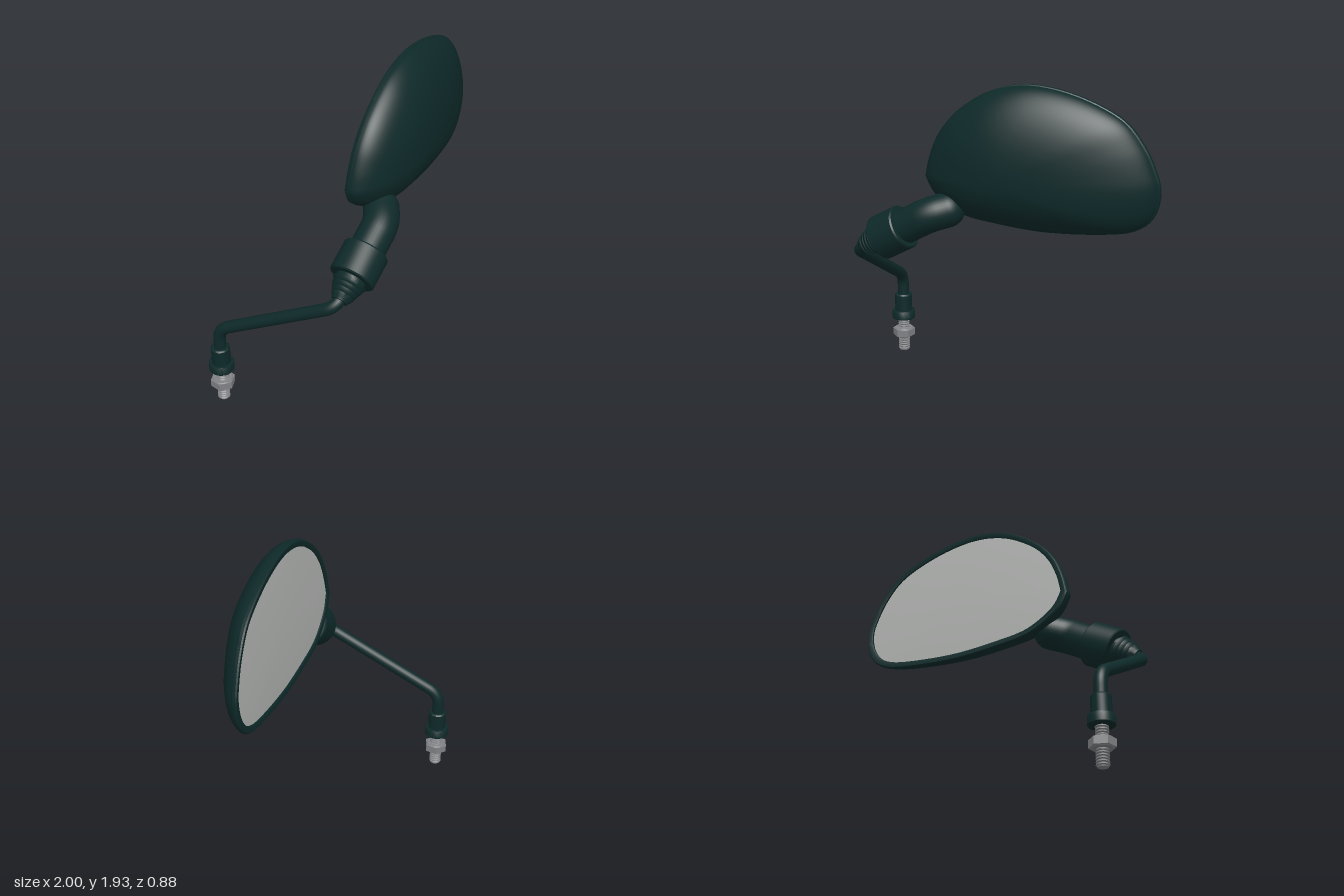
import * as THREE from 'three';
import { toCreasedNormals, mergeVertices } from 'three/addons/utils/BufferGeometryUtils.js';

const V = (x, y, z) => new THREE.Vector3(x, y, z);

export function createModel() {
  const model = new THREE.Group();
  model.name = 'rearViewMirror';
  const makeMat = (name, color) => {
    const m = new THREE.MeshStandardMaterial({ color });
    m.name = name;
    return m;
  };
  const dark = makeMat('dark plastic', 0x0e2929);
  const steel = makeMat('steel', 0x808285);
  const glassGrey = makeMat('mirror glass', 0xb2b4b2);

  const add = (name, geo, mat, pos) => {
    const mesh = new THREE.Mesh(geo, mat);
    mesh.name = name;
    if (pos) mesh.position.copy(pos);
    model.add(mesh);
    return mesh;
  };
  // turned part from [radius, height] pairs, crisp at sharp corners
  const turned = (pts, sides = 40) =>
    toCreasedNormals(new THREE.LatheGeometry(pts.map(p => new THREE.Vector2(...p)), sides), 0.6);
  // path of straight runs joined by rounded corners
  const roundedPath = (pts, radius) => {
    const path = new THREE.CurvePath();
    let from = pts[0];
    for (let i = 1; i < pts.length - 1; i++) {
      const p = pts[i];
      const a = p.clone().add(pts[i - 1].clone().sub(p).setLength(radius));
      const b = p.clone().add(pts[i + 1].clone().sub(p).setLength(radius));
      path.add(new THREE.LineCurve3(from, a));
      path.add(new THREE.QuadraticBezierCurve3(a, p, b));
      from = b;
    }
    path.add(new THREE.LineCurve3(from, pts[pts.length - 1]));
    return path;
  };

  // mounting bolt: threaded rod, hex nut, collar and sleeve
  const base = V(-0.925, 0, -0.368);
  const thread = [[0, 0], [0.029, 0]];
  for (let i = 0; i < 14; i++) {
    const y = 0.004 + i * 0.0155;
    thread.push([0.029, y], [0.036, y + 0.005], [0.036, y + 0.009], [0.029, y + 0.014]);
  }
  add('threadedRod', turned(thread, 28), steel, base);
  const nut = new THREE.CylinderGeometry(0.072, 0.072, 0.044, 6).toNonIndexed();
  nut.computeVertexNormals();
  add('hexNut', nut, steel, base.clone().setY(0.125));
  add('nutWasher', turned([[0, 0.097], [0.056, 0.097], [0.061, 0.104], [0.061, 0.146], [0.056, 0.153], [0, 0.153]]), steel, base);
  add('collar', turned([[0, 0.22], [0.07, 0.22], [0.073, 0.224], [0.073, 0.27], [0.07, 0.275], [0, 0.275]]), dark, base);
  add('sleeve', turned([[0.055, 0.27], [0.055, 0.378], [0.048, 0.386], [0, 0.386]]), dark, base);

  // bent stem
  const axis = V(0.87, 0.49, -0.14).normalize();
  const joint = V(-0.473, 1.037, 0.3);
  const onAxis = t => joint.clone().addScaledVector(axis, t);
  const stem = roundedPath([V(-0.925, 0.36, -0.368), V(-0.925, 0.515, -0.368), onAxis(-0.275), onAxis(-0.1)], 0.075);
  add('stem', new THREE.TubeGeometry(stem, 90, 0.036, 20), dark);

  // ribbed boot and swivel joint on the arm axis
  const turn = new THREE.Quaternion().setFromUnitVectors(V(0, 1, 0), axis);
  const boot = [[0, -0.235], [0.045, -0.235], [0.05, -0.225]];
  for (let i = 0; i < 4; i++) {
    const r = 0.058 + i * 0.01, t = -0.215 + i * 0.027;
    boot.push([r, t], [r + 0.009, t + 0.017], [r, t + 0.021]);
  }
  boot.push([0.085, -0.08]);
  add('ribbedBoot', turned(boot), dark, joint).quaternion.copy(turn);
  add('swivelJoint', turned([[0, -0.094], [0.124, -0.094], [0.131, -0.087], [0.131, 0.083],
    [0.124, 0.092], [0, 0.092]]), dark, joint).quaternion.copy(turn);

  // thick arm with a rounded end sunk into the housing
  const armEnd = V(-0.16, 1.195, 0.195);
  const arm = roundedPath([joint, onAxis(0.27), armEnd], 0.055);
  add('arm', new THREE.TubeGeometry(arm, 40, 0.102, 32), dark);
  add('armEnd', new THREE.SphereGeometry(0.102, 32, 20), dark, armEnd);

  // outline of the mirror head, counter-clockwise from the front
  const outline = new THREE.SplineCurve([
    [-0.355, 1.364], [-0.325, 1.487], [-0.26, 1.63], [-0.14, 1.765], [0.06, 1.888], [0.285, 1.93],
    [0.54, 1.888], [0.783, 1.78], [0.906, 1.64], [0.976, 1.487], [0.997, 1.38], [0.97, 1.257],
    [0.89, 1.166], [0.73, 1.118], [0.38, 1.09], [0.06, 1.112], [-0.14, 1.15], [-0.297, 1.257], [-0.355, 1.364],
  ].reverse().map(p => new THREE.Vector2(...p))).getSpacedPoints(112).slice(0, -1);
  const cx = 0.32, cy = 1.5;
  // rings are [scaleX, scaleY, depth, shift] on the leaning mirror plane
  const loft = rings => {
    const n = outline.length, pos = [], index = [];
    rings.forEach(([sx, sy, w, shift = 0], k) => {
      outline.forEach((p, i) => {
        const x = cx - 0.12 * shift + (p.x - cx) * sx;
        const y = cy - 0.1 * shift + (p.y - cy) * sy;
        pos.push(x, y, -0.04 - 0.214 * (x - 0.3) + 0.05 * (y - cy) + w);
        if (k === 0) return;
        const j = (i + 1) % n, a = (k - 1) * n, b = k * n;
        index.push(a + i, a + j, b + j, a + i, b + j, b + i);
      });
    });
    const g = new THREE.BufferGeometry();
    g.setAttribute('position', new THREE.Float32BufferAttribute(pos, 3));
    g.setIndex(index);
    const welded = mergeVertices(g, 1e-5);
    welded.computeVertexNormals();
    return toCreasedNormals(welded, 0.6);
  };

  // housing: recessed lip, rim band, then the domed shell
  const lip = [0.945, 0.912];
  const shell = [[...lip, 0.02], [...lip, 0.003], [0.955, 0.928, 0], [0.99, 0.985, 0], [1, 1, 0.008], [1, 1, 0.026], [0.992, 0.988, 0.03]];
  const steps = 22;
  for (let i = 1; i <= steps; i++) {
    const a = (i / steps) * Math.PI / 2;
    const s = i === steps ? 0 : 0.992 * Math.cos(a);
    shell.push([s, s, 0.03 + 0.238 * Math.pow(Math.sin(a), 1.2), 1 - s]);
  }
  add('housing', loft(shell), dark);

  // slightly convex glass facing the rear
  const glass = [];
  for (let i = 0; i <= 8; i++) {
    const s = i / 8;
    glass.push([lip[0] * s, lip[1] * s, 0.012 - 0.01 * (1 - s * s)]);
  }
  add('mirrorGlass', loft(glass), glassGrey);

  return model;
}
